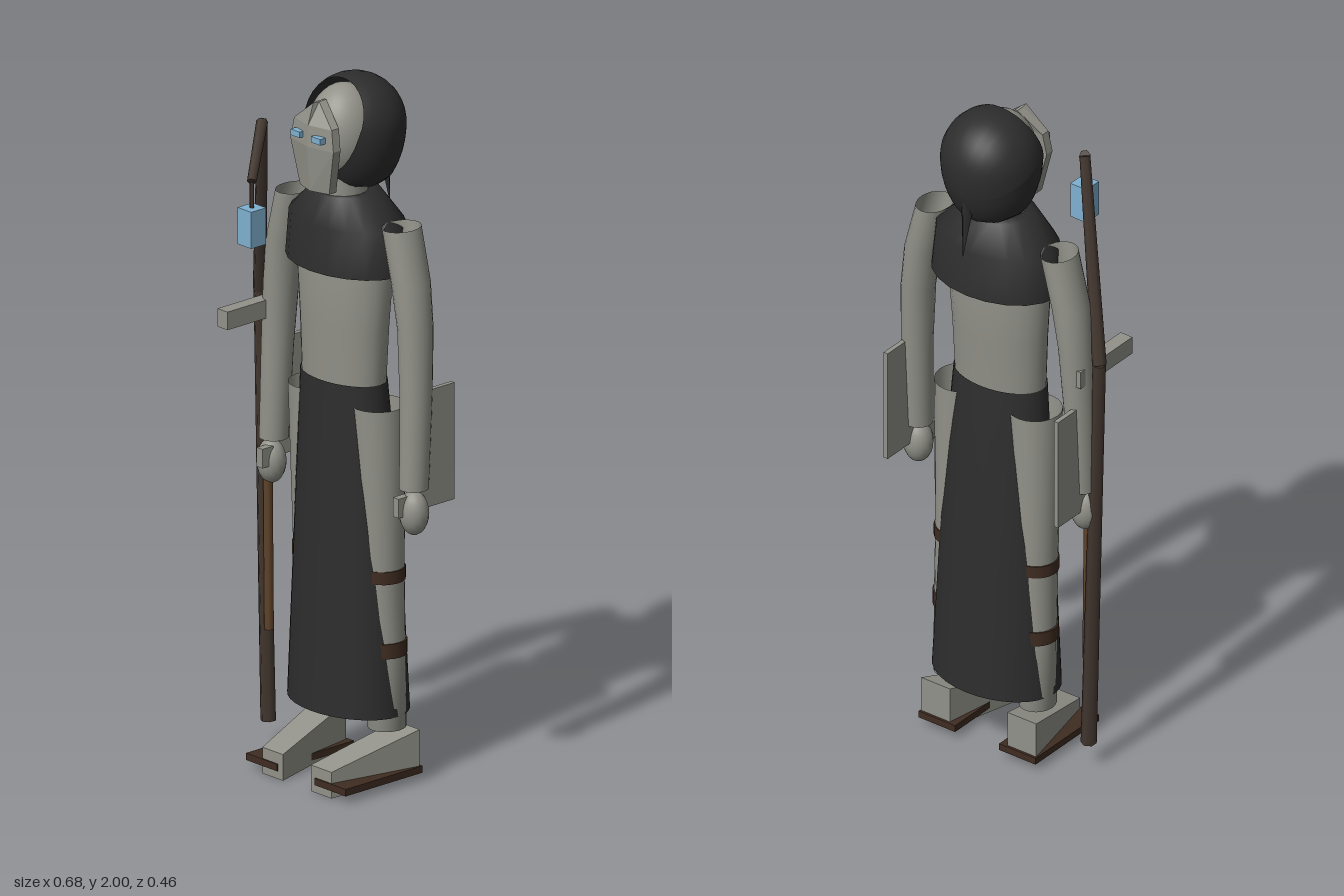
import * as THREE from 'three';

const mat = (name, color, side = THREE.FrontSide) => {
  const m = new THREE.MeshStandardMaterial({ color, side });
  m.name = name;
  return m;
};

export function createModel() {
  const grey = mat('pale grey', 0x92928a, THREE.DoubleSide);
  const dark = mat('dark cloth', 0x2d2d2d, THREE.DoubleSide);
  const brown = mat('dark leather', 0x3f2c21);
  const wood = mat('staff wood', 0x42362f);
  const gripWood = mat('grip wood', 0x5f432a);
  const blue = mat('blue glow', 0x7fb0d0);

  const model = new THREE.Group();
  model.name = 'hoodedFigure';
  const body = new THREE.Group();
  body.name = 'body';
  body.position.x = 0.011;
  model.add(body);

  const add = (parent, name, geo, material, x = 0, y = 0, z = 0) => {
    const m = new THREE.Mesh(geo, material);
    m.name = name;
    m.position.set(x, y, z);
    parent.add(m);
    return m;
  };
  const box = (w, h, d) => new THREE.BoxGeometry(w, h, d);

  // Skin through elliptical rings [x, y, z, rx, rz], listed bottom to top
  const loft = (rings, n = 24) => {
    const pos = [], idx = [];
    rings.forEach(([x, y, z, rx, rz], i) => {
      for (let j = 0; j < n; j++) {
        const a = (j / n) * Math.PI * 2;
        pos.push(x + rx * Math.cos(a), y, z + rz * Math.sin(a));
        if (i === rings.length - 1) continue;
        const p = i * n + j, q = i * n + (j + 1) % n;
        idx.push(p, p + n, q, q, p + n, q + n);
      }
    });
    const g = new THREE.BufferGeometry();
    g.setAttribute('position', new THREE.Float32BufferAttribute(pos, 3));
    g.setIndex(idx);
    g.computeVertexNormals();
    return g;
  };

  // Move every vertex by a rule, then facet the result
  const reshape = (geo, rule, flat = true) => {
    const g = flat ? geo.toNonIndexed() : geo;
    const p = g.attributes.position, v = new THREE.Vector3();
    for (let i = 0; i < p.count; i++) {
      rule(v.fromBufferAttribute(p, i));
      p.setXYZ(i, v.x, v.y, v.z);
    }
    g.computeVertexNormals();
    return g;
  };

  // Tapered rod between two points
  const rod = (name, a, b, ra, rb, material, sides = 6) => {
    const A = new THREE.Vector3(...a), B = new THREE.Vector3(...b);
    const dir = B.clone().sub(A);
    const m = add(model, name, new THREE.CylinderGeometry(rb, ra, dir.length(), sides), material);
    m.position.copy(A).add(B).multiplyScalar(0.5);
    m.quaternion.setFromUnitVectors(new THREE.Vector3(0, 1, 0), dir.normalize());
  };

  // Torso and clothes
  add(body, 'torso', loft([
    [0, 1.13, -0.05, 0.142, 0.084], [0, 1.3, -0.052, 0.148, 0.092],
    [0, 1.5, -0.055, 0.16, 0.105], [0, 1.62, -0.055, 0.13, 0.08]]), grey);
  add(body, 'skirt', loft([
    [0, 0.205, -0.067, 0.195, 0.138], [0, 0.6, -0.064, 0.176, 0.122],
    [0, 1.0, -0.055, 0.155, 0.1], [0, 1.15, -0.05, 0.145, 0.09]], 32), dark);
  add(body, 'mantle', loft([
    [0, 1.47, -0.065, 0.2, 0.14], [0, 1.6, -0.063, 0.188, 0.13],
    [0, 1.68, -0.055, 0.1, 0.092], [0, 1.68, -0.055, 0.06, 0.06]], 20), dark);

  // Head, hood and neck
  add(body, 'neck', new THREE.CylinderGeometry(0.07, 0.07, 0.1, 20), grey, 0, 1.68, -0.045);
  const head = new THREE.SphereGeometry(1, 28, 20);
  head.scale(0.1, 0.14, 0.105);
  add(body, 'head', head, grey, 0, 1.84, -0.05);

  const hood = new THREE.SphereGeometry(0.14, 28, 20, 0, Math.PI * 2, 0.94, Math.PI - 0.94);
  hood.rotateX(Math.PI / 2 - 0.335);
  add(body, 'hood', reshape(hood, (v) => {
    if (v.y < 0) v.y = Math.max(v.y * 1.5, -0.16);
  }, false), dark, 0, 1.86, -0.09);
  const tail = new THREE.ConeGeometry(0.027, 0.21, 4);
  tail.rotateX(Math.PI);
  add(body, 'hoodTail', tail, dark, 0, 1.7, -0.205).rotation.x = 0.13;

  // Ridged mask: rows of [y, half width, front edge z], top to bottom
  const rows = [[1.95, 0.004, 0.045], [1.89, 0.075, 0.064], [1.83, 0.086, 0.068], [1.7, 0.058, 0.058]];
  add(body, 'mask', reshape(new THREE.BoxGeometry(2, 3, 2, 2, 3, 1), (v) => {
    const [y, w, z] = rows[Math.round(1.5 - v.y)];
    const front = v.z > 0;
    v.set(v.x * w, y, front ? z + 0.018 * (1 - Math.abs(v.x)) : z - 0.026);
  }), grey);

  for (const s of [1, -1]) {
    const side = s > 0 ? 'left' : 'right';
    add(body, side + 'Eye', box(0.036, 0.017, 0.02), blue, s * 0.041, 1.858, 0.082);

    // Arm, hand and forearm plate
    add(body, side + 'Arm', loft([
      [s * 0.28, 0.89, -0.05, 0.04, 0.041], [s * 0.277, 1.15, -0.06, 0.043, 0.046],
      [s * 0.268, 1.34, -0.066, 0.046, 0.052], [s * 0.25, 1.47, -0.066, 0.05, 0.057],
      [s * 0.212, 1.62, -0.066, 0.047, 0.06]], 20), grey);
    const hand = new THREE.SphereGeometry(1, 16, 12);
    hand.scale(0.043, 0.063, 0.04);
    add(body, side + 'Hand', hand, grey, s * 0.285, 0.822, -0.045);
    add(body, side + 'Thumb', box(0.023, 0.055, 0.04), grey, s * 0.272, 0.845, -0.01);
    add(body, side + 'ForearmPlate', box(0.014, 0.335, 0.13), grey, s * 0.29, 0.998, -0.118);

    // Leg with straps
    add(body, side + 'Leg', loft([
      [s * 0.145, 0.165, -0.075, 0.001, 0.001], [s * 0.145, 0.165, -0.075, 0.05, 0.055],
      [s * 0.14, 0.4, -0.073, 0.055, 0.056], [s * 0.135, 0.61, -0.068, 0.059, 0.06],
      [s * 0.125, 1.09, -0.06, 0.075, 0.075]], 20), grey);
    add(body, side + 'KneeStrap', new THREE.CylinderGeometry(0.063, 0.063, 0.036, 20), brown, s * 0.135, 0.608, -0.068);
    add(body, side + 'ShinStrap', new THREE.CylinderGeometry(0.06, 0.06, 0.042, 20), brown, s * 0.14, 0.397, -0.073);

    // Wedge shoe, toe turned inward, on a flat sole
    add(body, side + 'Shoe', reshape(box(2, 2, 2), (v) => {
      const toe = v.z > 0, top = v.y > 0;
      const centre = toe ? 0.097 : 0.147, half = toe ? 0.041 : 0.049;
      v.set(s * centre + v.x * half,
        toe ? (top ? 0.077 : 0.002) : (top ? 0.15 : 0.025), toe ? 0.123 : -0.148);
    }), grey);
    add(body, side + 'Sole', box(0.124, 0.02, 0.282), brown, s * 0.137, 0.035, -0.014);
  }

  // Box mounted on the right forearm
  add(model, 'forearmBox', box(0.04, 0.052, 0.23), grey, -0.282, 1.266, 0.012);

  // Crooked staff with hanging lantern
  const foot = [-0.281, 0.075, -0.04], elbow = [-0.325, 1.3, -0.05];
  const crook = [-0.18, 1.85, 0.075], tip = [-0.078, 1.735, 0.207];
  rod('staffShaft', foot, elbow, 0.022, 0.018, wood);
  rod('staffUpper', elbow, crook, 0.02, 0.015, wood);
  rod('staffHook', crook, tip, 0.016, 0.013, wood);
  rod('staffGrip', [-0.272, 0.34, -0.035], [-0.277, 0.82, -0.035], 0.013, 0.013, gripWood, 8);
  rod('lanternCord', [-0.078, 1.65, 0.207], tip, 0.006, 0.006, wood);
  add(model, 'lantern', box(0.055, 0.105, 0.055), blue, -0.078, 1.608, 0.207);

  return model;
}
